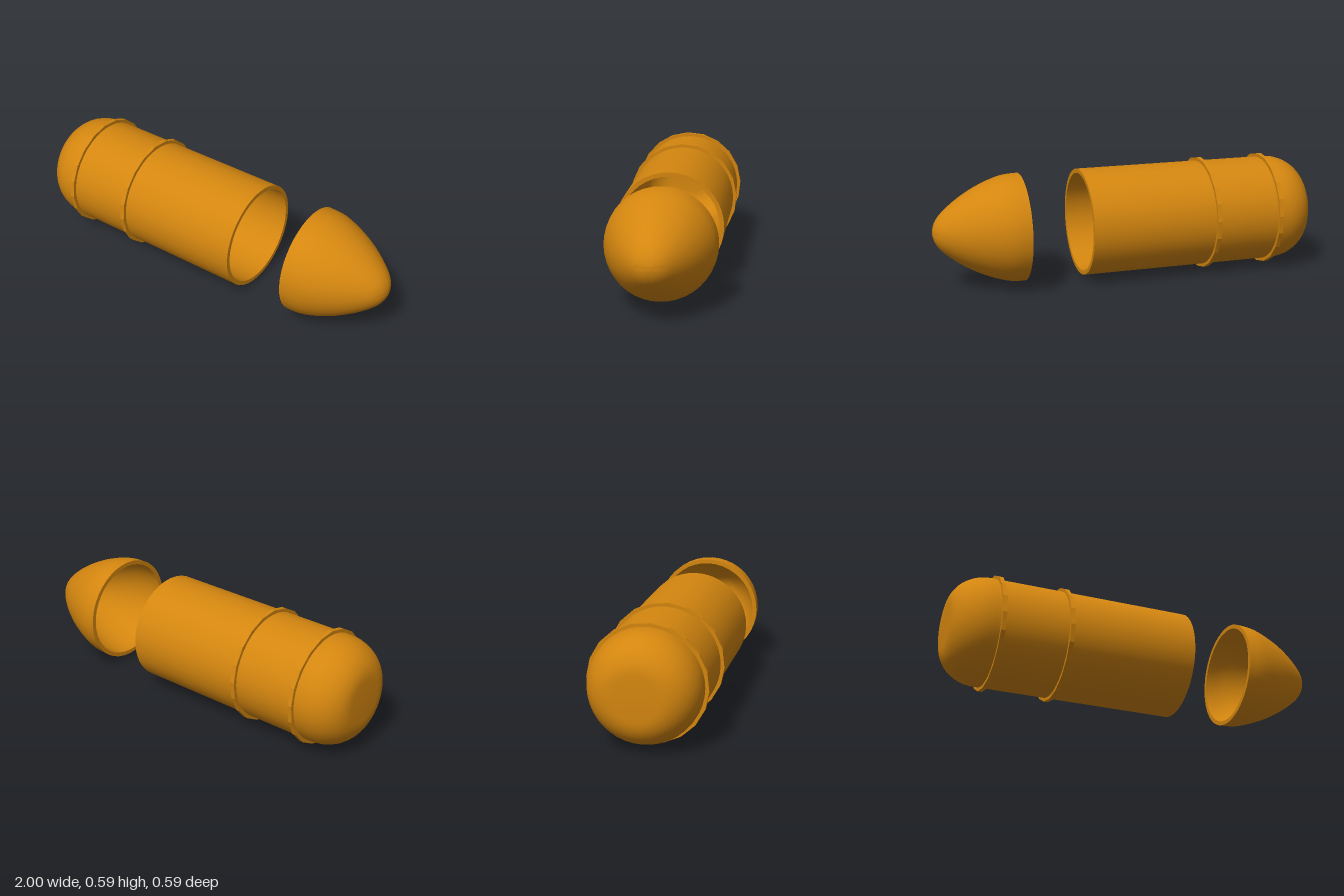
import * as THREE from 'three';
import { toCreasedNormals } from 'three/addons/utils/BufferGeometryUtils.js';

const SIDES = 40, AXIS_Y = 0.295, WALL = 0.022;

export function createModel() {
  const group = new THREE.Group();
  const material = new THREE.MeshStandardMaterial({ color: 0xd4860f, side: THREE.DoubleSide });
  const ringMaterial = material.clone();
  ringMaterial.flatShading = true;

  // Revolve a profile of [radius, x] around the long axis
  const revolve = (name, profile, sides, mat, phase = 0) => {
    const points = profile.map(([r, x]) => new THREE.Vector2(Math.max(r, 0), x));
    const geometry = toCreasedNormals(new THREE.LatheGeometry(points, sides, phase), 0.7);
    geometry.rotateZ(-Math.PI / 2);
    const mesh = new THREE.Mesh(geometry, mat);
    mesh.name = name;
    mesh.position.y = AXIS_Y;
    group.add(mesh);
  };

  const smooth = (points, n) => new THREE.SplineCurve(points.map(p => new THREE.Vector2(...p)))
    .getPoints(n).map(p => [p.x, p.y]);

  // Hollow casing with a rounded, flattened closed end
  const corner = (r, depth, flat, end) => {
    const out = [[0, end]];
    for (let i = 0; i <= 12; i++) {
      const a = (i / 12) * Math.PI / 2;
      out.push([flat + (r - flat) * Math.sin(a), end + depth * (1 - Math.cos(a))]);
    }
    return out;
  };
  const R = 0.275, mouth = 0.237;
  revolve('casing', [
    ...corner(R, 0.19, 0.11, -1), [R, mouth],
    [R - WALL, mouth], ...corner(R - WALL, 0.18, 0.1, -1 + WALL).reverse(),
  ], SIDES, material);

  // Hollow pointed nose
  const nose = smooth([[R, 0.55], [0.267, 0.64], [0.225, 0.757], [0.166, 0.863],
    [0.1, 0.948], [0.05, 0.986], [0, 1]], 28);
  const k = (R - WALL) / R;
  const inner = nose.map(([r, x]) => [r * k, 0.55 + (x - 0.55) * 0.94]).reverse();
  revolve('nose', [...inner, ...nose], SIDES, material);

  // Raised bands, coarser than the casing
  [-0.775, -0.428].forEach((x, i) => {
    const w = 0.011, a = 0.262, b = 0.294;
    revolve(i ? 'frontBand' : 'rearBand',
      [[a, x - w], [b, x - w], [b, x + w], [a, x + w], [a, x - w]],
      20, ringMaterial, 0.05);
  });

  return group;
}
